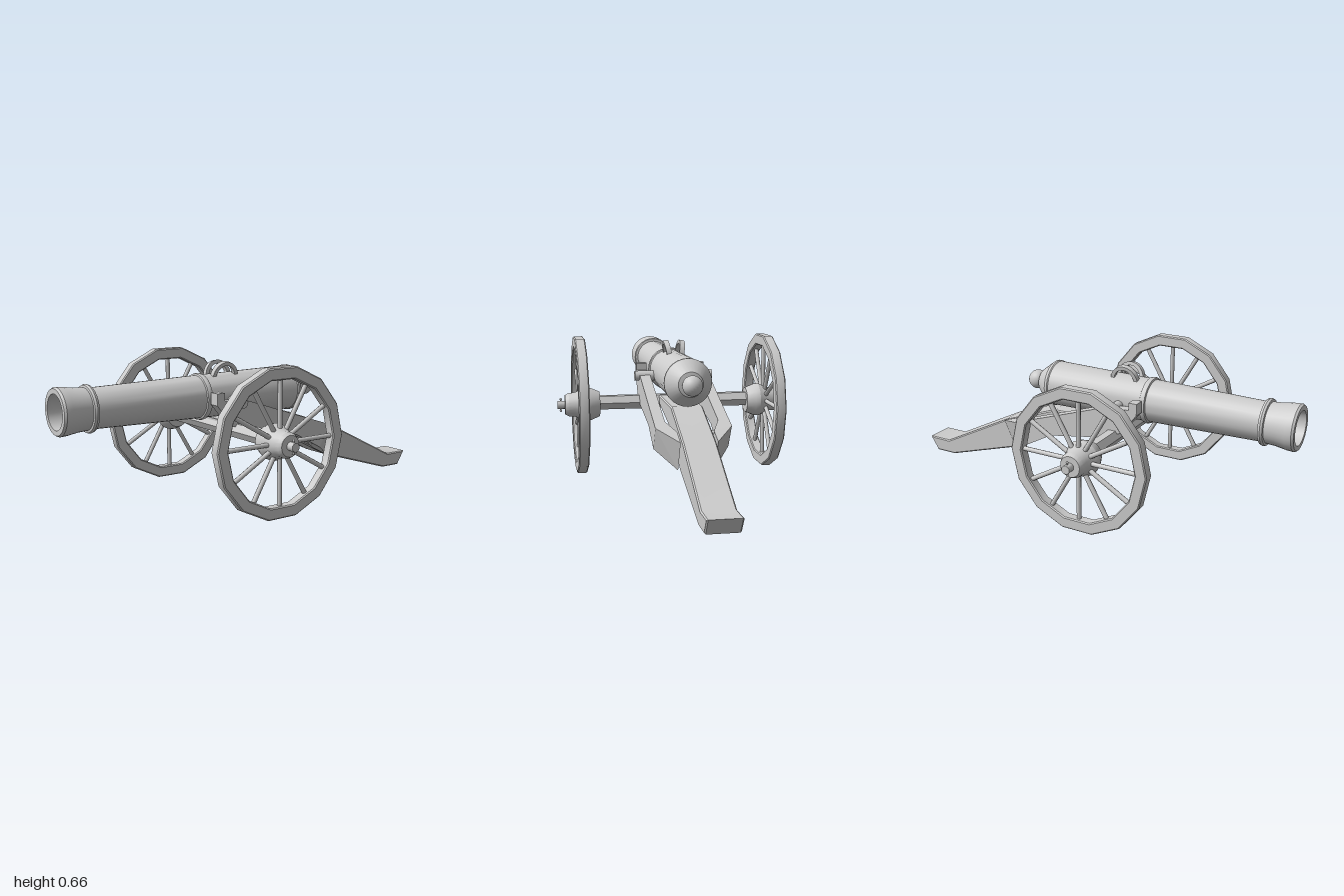
import * as THREE from 'three';
import { toCreasedNormals } from 'three/addons/utils/BufferGeometryUtils.js';
import { ConvexGeometry } from 'three/addons/geometries/ConvexGeometry.js';

const grey = new THREE.MeshStandardMaterial({ color: 0xcccccc });
const V = (x, y, z) => new THREE.Vector3(x, y, z);
const points = list => list.map(([a, b]) => new THREE.Vector2(a, b));

function add(parent, name, geometry, x = 0, y = 0, z = 0) {
  const mesh = new THREE.Mesh(geometry, grey);
  mesh.name = name;
  mesh.position.set(x, y, z);
  parent.add(mesh);
  return mesh;
}

// Turned part; profile is [radius, distance along the axis]
const turned = (profile, sides) =>
  toCreasedNormals(new THREE.LatheGeometry(points(profile), sides), 0.5);

// Plate in the x-y plane spanning z0..z1 with a small chamfer inside its outline
function plate(shape, z0, z1, bevel = 0.004) {
  const g = new THREE.ExtrudeGeometry(shape, {
    depth: z1 - z0 - 2 * bevel, bevelEnabled: bevel > 0, bevelSize: bevel,
    bevelThickness: bevel, bevelOffset: -bevel, bevelSegments: 1, curveSegments: 12,
  });
  return toCreasedNormals(g.translate(0, 0, z0 + bevel), 0.5);
}

const polygon = (radius, sides) => Array.from({ length: sides }, (_, i) => {
  const a = (i / sides) * Math.PI * 2;
  return new THREE.Vector2(radius * Math.cos(a), radius * Math.sin(a));
});

// Wheel centred on the z axis, outside facing +z
function makeWheel() {
  const wheel = new THREE.Group();
  const rim = new THREE.Shape(polygon(0.34, 14));
  rim.holes.push(new THREE.Path(polygon(0.285, 14)));
  add(wheel, 'rim', plate(rim, 0.444, 0.494, 0.005));

  const hub = turned([[0, 0.373], [0.062, 0.373], [0.08, 0.415], [0.084, 0.437], [0.08, 0.447],
    [0.06, 0.497], [0.058, 0.525], [0.048, 0.543], [0, 0.543]], 20);
  add(wheel, 'hub', hub.rotateX(Math.PI / 2));

  for (let i = 0; i < 12; i++) {
    const spoke = new THREE.CylinderGeometry(0.011, 0.011, 0.25, 8).translate(0, 0.17, 0);
    add(wheel, 'spoke', spoke, 0, 0, 0.469).rotation.z = (i * Math.PI) / 6;
  }

  // Axle end and its linchpin
  add(wheel, 'axleEnd', new THREE.CylinderGeometry(0.02, 0.02, 0.05, 12).rotateX(Math.PI / 2), 0, 0, 0.555);
  add(wheel, 'linchpin', new THREE.CylinderGeometry(0.004, 0.004, 0.06, 8), 0, 0, 0.564);
  for (const s of [-1, 1]) add(wheel, 'linchpinEnd', new THREE.SphereGeometry(0.006, 8, 6), 0, s * 0.029, 0.564);
  return wheel;
}

// Barrel with bore, reinforcing rings, breech and knob
function makeBarrel() {
  const barrel = new THREE.Group();
  barrel.name = 'barrel';
  barrel.position.y = 0.49;
  const body = turned([[0, -0.65], [0.078, -0.65], [0.078, -1], [0.1, -1], [0.106, -0.99], [0.104, -0.96],
    [0.096, -0.91], [0.093, -0.865], [0.103, -0.863], [0.107, -0.853], [0.103, -0.842], [0.09, -0.84],
    [0.1, -0.305], [0.107, -0.302], [0.11, -0.29], [0.107, -0.278], [0.101, -0.275],
    [0.108, 0.215], [0.112, 0.22], [0.112, 0.232], [0.106, 0.24], [0.058, 0.3], [0.03, 0.305], [0, 0.305]], 28);
  add(barrel, 'barrelBody', body.rotateZ(-Math.PI / 2));
  add(barrel, 'breechKnob', new THREE.SphereGeometry(0.047, 24, 16), 0.338, 0, 0);
  add(barrel, 'trunnion', new THREE.CylinderGeometry(0.025, 0.025, 0.39, 16).rotateX(Math.PI / 2), -0.17, -0.017, 0);

  // Arched lifting handles, leaning outward
  const arch = new THREE.Shape();
  arch.moveTo(0.07, 0);
  arch.absellipse(0, 0, 0.07, 0.075, 0, Math.PI, false);
  arch.lineTo(-0.052, 0);
  arch.absellipse(0, 0, 0.052, 0.058, Math.PI, 0, true);
  for (const s of [-1, 1]) {
    const handle = add(barrel, 'liftingHandle', plate(arch, -0.0125, 0.0125, 0), -0.165, 0.084, s * 0.028);
    handle.rotation.x = s * 0.18;
  }
  return barrel;
}

// Side cheek: straight plate plus a rear piece bent in toward the trail
function addCheek(parent, s) {
  const outline = new THREE.Shape(points([[-0.3, 0.525], [-0.3, 0.47], [-0.22, 0.37], [-0.12, 0.33],
    [0.16, 0.283], [0.305, 0.203], [0.37, 0.31], [0.16, 0.38], [-0.12, 0.475], [-0.26, 0.49], [-0.26, 0.525]]));
  add(parent, 'cheek', s > 0 ? plate(outline, 0.122, 0.174, 0) : plate(outline, -0.174, -0.122, 0));
  const corners = [
    [0.37, 0.31, 0.174], [0.305, 0.203, 0.174], [0.315, 0.328, 0.122], [0.25, 0.233, 0.122],
    [0.497, 0.267, 0.083], [0.433, 0.13, 0.083], [0.41, 0.297, 0.083], [0.345, 0.175, 0.083],
  ];
  add(parent, 'cheekRear', new ConvexGeometry(corners.map(([x, y, z]) => V(x, y, s * z))));
}

export function createModel() {
  const model = new THREE.Group();
  model.name = 'fieldCannon';
  model.add(makeBarrel());

  // Carriage: trail beam, cheeks, cross bolt and axle
  const carriage = new THREE.Group();
  carriage.name = 'carriage';
  model.add(carriage);
  const trail = new THREE.Shape(points([[-0.2, 0.375], [-0.2, 0.34], [-0.1, 0.32], [0.16, 0.27], [0.433, 0.13],
    [0.845, 0.004], [0.957, 0.004], [1, 0.075], [0.877, 0.075], [0.497, 0.267], [0.2, 0.375]]));
  add(carriage, 'trail', plate(trail, -0.075, 0.075, 0.006));
  for (const s of [-1, 1]) addCheek(carriage, s);
  add(carriage, 'crossBolt', new THREE.CylinderGeometry(0.013, 0.013, 0.3, 12).rotateX(Math.PI / 2), 0.25, 0.255, 0);
  const axle = new THREE.CylinderGeometry(0.038, 0.038, 0.76, 6).toNonIndexed();
  axle.computeVertexNormals();
  axle.rotateY(Math.PI / 2).rotateX(Math.PI / 2);
  add(carriage, 'axle', axle, -0.175, 0.343, 0);

  // Pair of wheels
  for (const s of [-1, 1]) {
    const wheel = makeWheel();
    wheel.name = s > 0 ? 'leftSideWheel' : 'rightSideWheel';
    wheel.name = s > 0 ? 'frontSideWheel' : 'backSideWheel';
    wheel.position.set(-0.175, 0.336, 0);
    if (s < 0) wheel.rotation.y = Math.PI;
    model.add(wheel);
  }
  return model;
}
